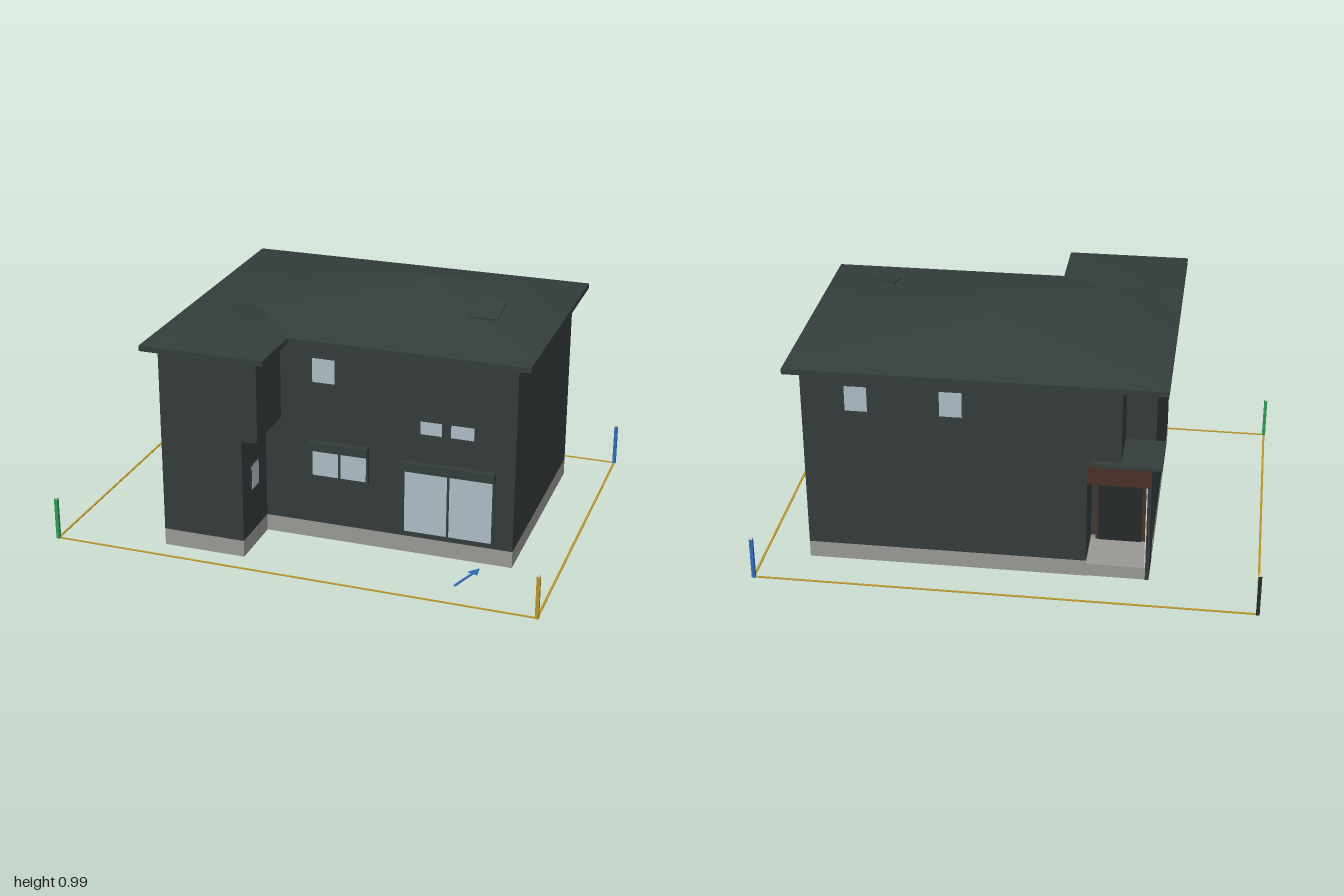
import * as THREE from 'three';

const mat = (name, color) => Object.assign(new THREE.MeshStandardMaterial({ color }), { name });

export function createModel() {
  const M = {
    wall: mat('charcoal wall', 0x343a3a),
    roof: mat('slate roof', 0x343d3c),
    concrete: mat('concrete', 0x989793),
    glass: mat('glass', 0xacbbc4),
    brown: mat('dark brown wood', 0x4a3027),
    gold: mat('gold', 0xb8942a),
    blue: mat('blue', 0x2f6abc),
    green: mat('green', 0x2f9a55),
    black: mat('black', 0x26292b),
    white: mat('pale plaster', 0xcfcfca),
  };
  const model = new THREE.Group();
  model.name = 'house';

  const add = (name, geo, material, parent = model) => {
    const mesh = new THREE.Mesh(geo, material);
    mesh.name = name;
    parent.add(mesh);
    return mesh;
  };
  // Box given by its limits
  const box = (name, material, x0, x1, y0, y1, z0, z1, parent = model) => {
    const m = add(name, new THREE.BoxGeometry(x1 - x0, y1 - y0, z1 - z0), material, parent);
    m.position.set((x0 + x1) / 2, (y0 + y1) / 2, (z0 + z1) / 2);
    return m;
  };
  // Upright prism over a plan of [x, z] points, with an optional hole
  const prism = (name, material, plan, y0, y1, hole) => {
    const toV = ([x, z]) => new THREE.Vector2(x, -z);
    const shape = new THREE.Shape(plan.map(toV));
    if (hole) shape.holes.push(new THREE.Path(hole.map(toV).reverse()));
    const geo = new THREE.ExtrudeGeometry(shape, { depth: y1 - y0, bevelEnabled: false });
    geo.rotateX(-Math.PI / 2).translate(0, y0, 0);
    return add(name, geo, material);
  };
  // Moves every edge of a right-angled plan inwards by t
  const inset = (plan, t) => plan.map((p, i) => {
    const n = plan.length, a = plan[(i + n - 1) % n], b = plan[(i + 1) % n];
    const d = [Math.sign(p[0] - a[0]) + Math.sign(b[0] - p[0]), Math.sign(p[1] - a[1]) + Math.sign(b[1] - p[1])];
    return [p[0] - d[1] * t, p[1] + d[0] * t];
  });

  // Storeys: the lower one has the porch recess and a brown underside inside the hollow plinth,
  // the upper one a corner notch and an overhang
  const lower = [[-0.56, -0.35], [-0.31, -0.35], [-0.31, -0.55], [0.807, -0.55],
    [0.807, 0.376], [-0.22, 0.376], [-0.22, 0.63], [-0.56, 0.63]];
  const upper = [[-0.56, -0.35], [-0.44, -0.35], [-0.44, -0.55], [0.807, -0.55],
    [0.807, 0.376], [-0.154, 0.376], [-0.154, 0.63], [-0.56, 0.63]];
  prism('plinth', M.concrete, lower, 0, 0.07, inset(lower, 0.025));
  prism('lowerWalls', [M.brown, M.wall], lower, 0.07, 0.508);
  prism('upperWalls', M.wall, upper, 0.508, 0.85);
  box('overhangTrim', M.roof, -0.22, -0.165, 0.495, 0.508, 0.376, 0.622);

  // Two crossing hipped roofs over an L-shaped eave
  const Y = 0.866, slope = 0.243;
  prism('eaves', M.roof, [[-0.615, -0.605], [0.862, -0.605], [0.862, 0.42],
    [-0.105, 0.42], [-0.105, 0.682], [-0.615, 0.682]], 0.844, Y);
  const hip = (name, x0, x1, z0, z1) => {
    const r = Math.min(x1 - x0, z1 - z0) / 2, top = Y + r * slope;
    const pts = [x0, Y, z0, x1, Y, z0, x1, Y, z1, x0, Y, z1,
      x0 + r, top, z0 + r, x1 - r, top, z1 - r];
    const ridge = x1 - x0 > z1 - z0 ? [4, 5, 5, 4] : [4, 4, 5, 5];
    const index = [];
    for (let i = 0; i < 4; i++) {
      const j = (i + 1) % 4;
      index.push(j, i, ridge[i]);
      if (ridge[i] !== ridge[j]) index.push(j, ridge[i], ridge[j]);
    }
    const geo = new THREE.BufferGeometry();
    geo.setAttribute('position', new THREE.Float32BufferAttribute(pts, 3));
    geo.setIndex(index);
    geo.computeVertexNormals();
    add(name, geo, M.roof);
  };
  hip('mainRoof', -0.615, 0.862, -0.605, 0.42);
  hip('wingRoof', -0.615, -0.105, 0.045, 0.682);

  // Flat roof hatch lying on the front slope
  const hatch = box('roofHatch', M.roof, 0.545, 0.66, 0.949, 0.955, 0.009, 0.147);
  hatch.rotation.x = Math.atan(slope);

  // Windows: count panes side by side in a thin frame, with an optional shutter box
  const windowUnit = (name, x, y, z, turn, w, h, count = 1, shutter = 0) => {
    const g = new THREE.Group();
    g.name = name;
    g.position.set(x, y, z);
    g.rotation.y = turn;
    const W = w / 2, H = h / 2, b = 0.007;
    box('frame', M.roof, -W - b, W + b, -H - b, H + b, -0.005, 0.003, g);
    const gap = 0.01, pw = (w - gap * (count - 1)) / count;
    for (let i = 0; i < count; i++) {
      const l = -W + i * (pw + gap);
      box('pane', M.glass, l, l + pw, -H, H, 0, 0.004, g);
    }
    if (shutter) {
      box('shutterBox', M.roof, -W - 0.011, W + 0.011, H, H + shutter, -0.005, 0.028, g);
      for (const s of [-1, 1]) {
        const c = s * (W + 0.006);
        box('shutterRail', M.roof, c - 0.005, c + 0.005, -H - b, H, -0.005, 0.008, g);
      }
    }
    model.add(g);
  };
  const F = 0.376;
  windowUnit('frontUpperWindow', 0.028, 0.73, F, 0, 0.093, 0.1);
  windowUnit('stripWindowRight', 0.469, 0.547, F, 0, 0.086, 0.053);
  windowUnit('stripWindowLeft', 0.595, 0.547, F, 0, 0.092, 0.053);
  windowUnit('frontSlidingWindow', 0.092, 0.337, F, 0, 0.224, 0.115, 2, 0.036);
  windowUnit('terraceDoor', 0.542, 0.228, F, 0, 0.356, 0.27, 2, 0.036);
  windowUnit('wingSideWindow', -0.22, 0.305, 0.503, Math.PI / 2, 0.072, 0.1);
  for (const x of [0.59, 0.22]) windowUnit('backWindow', x, 0.73, -0.55, Math.PI, 0.088, 0.105);

  // Corner porch
  box('porchSlab', M.concrete, -0.559, -0.24, 0.001, 0.055, -0.549, -0.3);
  box('porchScreenWall', M.wall, -0.56, -0.545, 0, 0.513, -0.55, -0.39);
  box('screenWallLining', M.white, -0.545, -0.54, 0.055, 0.42, -0.548, -0.39);
  box('porchBeam', M.brown, -0.558, -0.31, 0.42, 0.513, -0.552, -0.535);
  box('porchCeiling', M.brown, -0.545, -0.31, 0.49, 0.505, -0.535, -0.35);
  box('porchCanopy', M.roof, -0.6, -0.32, 0.513, 0.526, -0.583, -0.36);
  box('frontDoorFrame', M.brown, -0.53, -0.33, 0.055, 0.42, -0.355, -0.349);
  box('frontDoor', M.black, -0.515, -0.34, 0.055, 0.41, -0.359, -0.354);

  // Plot boundary: pale-topped coloured corner posts, each joined to the next by a flat line
  const posts = [[-0.993, 0.722, M.green], [0.993, 0.73, M.gold], [0.993, -0.733, M.blue], [-0.993, -0.733, M.black]];
  posts.forEach(([x, z, m], i) => {
    const r = 0.007;
    box('cornerPost', m, x - r, x + r, 0, 0.176, z - r, z + r);
    box('cornerPostCap', M.white, x - r, x + r, 0.176, 0.18, z - r, z + r);
    const [nx, nz] = posts[(i + 1) % 4];
    const line = add('boundaryLine', new THREE.BoxGeometry(Math.hypot(nx - x, nz - z), 0.003, 0.009), M.gold);
    line.position.set((x + nx) / 2, 0.0015, (z + nz) / 2);
    line.rotation.y = Math.atan2(z - nz, nx - x);
  });

  // Flat arrow on the ground
  const dir = new THREE.Vector2(0.055, -0.165), len = dir.length();
  dir.normalize();
  const arrow = [[0, -0.005], [len - 0.05, -0.005], [len - 0.05, -0.022], [len, 0],
    [len - 0.05, 0.022], [len - 0.05, 0.005], [0, 0.005]]
    .map(([a, b]) => [0.635 + dir.x * a - dir.y * b, 0.59 + dir.y * a + dir.x * b]);
  prism('groundArrow', M.blue, arrow, 0, 0.003);

  return model;
}
